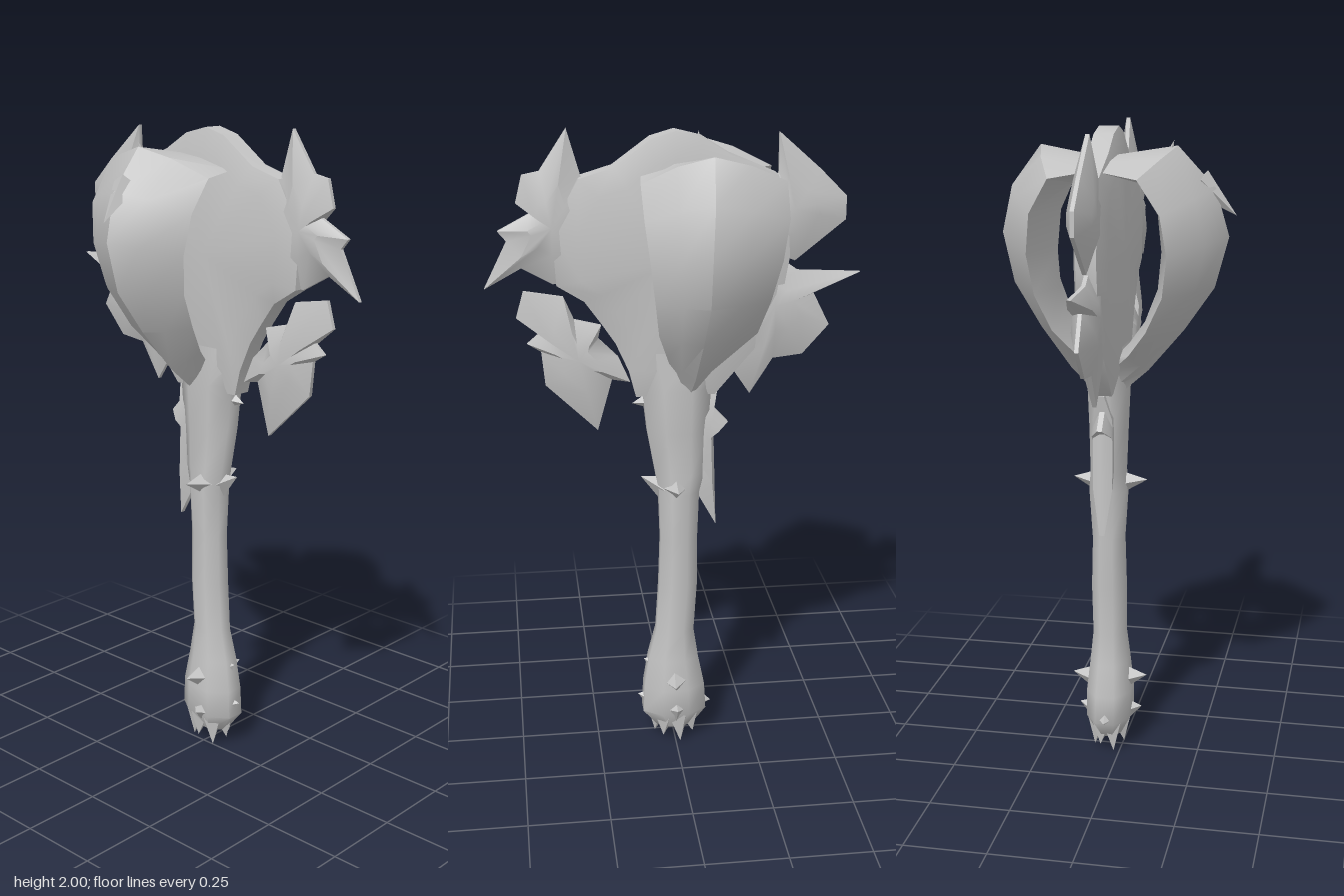
import * as THREE from 'three';
import { toCreasedNormals } from 'three/addons/utils/BufferGeometryUtils.js';

const ZC = -0.04; // depth of the middle plane
const iron = new THREE.MeshStandardMaterial({ color: 0xc4c4c4 });
iron.name = 'iron';

function build(name, points, index, crease = 0.75) {
  let geo = new THREE.BufferGeometry();
  geo.setAttribute('position', new THREE.Float32BufferAttribute(points.flat(), 3));
  geo.setIndex(index);
  geo = toCreasedNormals(geo, crease);
  const mesh = new THREE.Mesh(geo, iron);
  mesh.name = name;
  return mesh;
}

// Closed skin over rings of equal size, with fan caps
function skin(name, rings, crease) {
  const n = rings[0].length, index = [], last = (rings.length - 1) * n;
  for (let i = 0; i < rings.length - 1; i++)
    for (let j = 0; j < n; j++) {
      const a = i * n + j, b = i * n + (j + 1) % n;
      index.push(a, b, b + n, a, b + n, a + n);
    }
  for (let j = 1; j < n - 1; j++) {
    index.push(0, j + 1, j);
    index.push(last, last + j, last + j + 1);
  }
  return build(name, rings.flat(), index, crease);
}

// Jagged plate: thin rim, thicker inner ring, thickest at the centre
function plate(name, outline, [cx, cy], rim, thick, inset = 0.6) {
  const pts = outline.map(([x, y]) => new THREE.Vector2(x, y));
  if (THREE.ShapeUtils.isClockWise(pts)) pts.reverse();
  const n = pts.length, verts = [], index = [];
  const ring = (s, t) => pts.forEach(p =>
    verts.push([cx + (p.x - cx) * s, cy + (p.y - cy) * s, ZC + t]));
  ring(inset, -thick); ring(1, -rim); ring(1, rim); ring(inset, thick);
  verts.push([cx, cy, ZC - thick], [cx, cy, ZC + thick]);
  for (let j = 0; j < n; j++) {
    const k = (j + 1) % n;
    for (let r = 0; r < 3; r++) {
      const a = r * n + j, b = r * n + k;
      index.push(a, b, b + n, a, b + n, a + n);
    }
    index.push(4 * n, k, j, 4 * n + 1, 3 * n + j, 3 * n + k);
  }
  return build(name, verts, index);
}

// Four-sided thorn from a base point to a tip
function thorn(name, base, tip, r) {
  const a = new THREE.Vector3(...base), b = new THREE.Vector3(...tip);
  const dir = b.clone().sub(a), h = dir.length();
  const geo = new THREE.ConeGeometry(r, h, 4).translate(0, h / 2, 0);
  const mesh = new THREE.Mesh(toCreasedNormals(geo, 0.5), iron);
  mesh.quaternion.setFromUnitVectors(new THREE.Vector3(0, 1, 0), dir.normalize());
  mesh.position.copy(a);
  mesh.name = name;
  return mesh;
}

// Curved flange: a ridged band bowing out of the middle plane
function flange(name, side, reach) {
  // ridge y, ridge depth, inner y, inner depth, left x, right x, ridge x
  const stations = [
    [1.19, 0.04, 1.30, 0.02, -0.08, 0.01, -0.04],
    [1.27, 0.13, 1.35, 0.07, -0.15, 0.03, -0.05],
    [1.40, 0.24, 1.42, 0.12, -0.23, 0.06, -0.06],
    [1.53, 0.33, 1.52, 0.16, -0.26, 0.075, -0.07],
    [1.68, 0.37, 1.63, 0.17, -0.29, 0.09, -0.07],
    [1.82, 0.33, 1.74, 0.16, -0.31, 0.105, -0.08],
    [1.94, 0.22, 1.83, 0.11, -0.31, 0.11, -0.09],
    [1.91, 0.03, 1.86, 0.02, -0.25, 0.10, -0.09]
  ];
  const rings = stations.map(([ry, rd, iy, id, xl, xr, xm]) => {
    const at = (x, t) => [x, iy + (ry - iy) * t, ZC + side * reach * (id + (rd - id) * t)];
    const ring = [at(xl, 0.25), at((xl + xm) / 2, 0.72), at(xm, 1),
      at((xr + xm) / 2, 0.75), at(xr, 0.25), at(xm, 0)];
    return side > 0 ? ring : ring.reverse();
  });
  return skin(name, rings);
}

export function createModel() {
  const model = new THREE.Group();
  model.name = 'mace';

  // Handle: y, left x, right x, half depth
  const handle = [
    [0.05, -0.06, 0.06, 0.04], [0.11, -0.10, 0.105, 0.07], [0.2, -0.095, 0.10, 0.07],
    [0.3, -0.075, 0.085, 0.06], [0.4, -0.06, 0.06, 0.05], [0.56, -0.07, 0.05, 0.052],
    [0.72, -0.07, 0.045, 0.048], [0.88, -0.075, 0.05, 0.058], [0.94, -0.09, 0.06, 0.052],
    [1.08, -0.10, 0.085, 0.055], [1.22, -0.11, 0.10, 0.06], [1.34, -0.15, 0.15, 0.05]
  ].map(([y, l, r, d]) => Array.from({ length: 8 }, (_, j) => {
    const a = (j + 0.5) / 8 * Math.PI * 2;
    return [(l + r) / 2 + Math.cos(a) * (r - l) / 2 * 1.08, y, ZC - Math.sin(a) * d * 1.08];
  }));
  model.add(skin('handle', handle, 1.1));

  // Thick central blade of the head
  model.add(plate('headBlade', [
    [-0.12, 1.2], [-0.24, 1.34], [-0.32, 1.5], [-0.34, 1.62], [-0.33, 1.76], [-0.3, 1.86],
    [-0.16, 1.92], [-0.08, 1.97], [0, 1.99], [0.07, 1.97], [0.18, 1.89], [0.28, 1.86],
    [0.36, 1.72], [0.35, 1.55], [0.27, 1.5], [0.22, 1.43], [0.18, 1.37], [0.14, 1.28], [0.12, 1.2]
  ], [0, 1.62], 0.03, 0.05, 0.8));

  // Jagged shards around the blade
  model.add(plate('upperLeftShard', [
    [0.27, 1.86], [0.2, 1.8], [0.25, 1.55], [0.36, 1.55], [0.45, 1.6], [0.56, 1.54],
    [0.49, 1.68], [0.515, 1.71], [0.42, 1.76], [0.46, 1.79], [0.44, 1.87], [0.39, 1.88], [0.31, 2.0]
  ], [0.36, 1.72], 0.006, 0.036, 0.45));
  model.add(plate('lowerLeftShard', [
    [0.135, 1.24], [0.19, 1.25], [0.235, 1.09], [0.39, 1.24], [0.4, 1.345], [0.44, 1.37],
    [0.405, 1.4], [0.47, 1.45], [0.447, 1.53], [0.33, 1.51], [0.3, 1.44], [0.22, 1.42],
    [0.23, 1.38], [0.17, 1.32]
  ], [0.29, 1.32], 0.006, 0.036, 0.45));
  model.add(plate('upperRightShard', [
    [-0.305, 1.98], [-0.43, 1.87], [-0.51, 1.79], [-0.51, 1.72], [-0.36, 1.6],
    [-0.24, 1.65], [-0.24, 1.82], [-0.305, 1.86]
  ], [-0.35, 1.76], 0.006, 0.036, 0.45));
  model.add(plate('lowerRightShard', [
    [-0.3, 1.62], [-0.37, 1.57], [-0.56, 1.56], [-0.42, 1.5], [-0.47, 1.4], [-0.39, 1.31],
    [-0.3, 1.3], [-0.23, 1.19], [-0.17, 1.28], [-0.12, 1.27], [-0.1, 1.5]
  ], [-0.3, 1.47], 0.006, 0.036, 0.45));
  model.add(plate('handleSliver', [
    [-0.13, 0.76], [-0.075, 0.86], [-0.07, 1.2], [-0.13, 1.2], [-0.12, 1.15], [-0.165, 1.1], [-0.12, 1.08]
  ], [-0.1, 1.05], 0.008, 0.03, 0.5));

  // Front and back flanges with a small fin on the front ridge
  model.add(flange('frontFlange', 1, 1), flange('backFlange', -1, 0.84));
  model.add(thorn('ridgeFin', [-0.08, 1.84, 0.24], [-0.06, 1.74, 0.35], 0.04));
  model.add(thorn('topFin', [-0.085, 1.84, 0.13], [-0.1, 1.955, 0.17], 0.03));

  // Thorns on the handle: base, tip, radius
  [
    [[0, 0.24, 0], [0, 0.25, 0.08], 0.045], [[0, 0.23, -0.08], [0.01, 0.24, -0.165], 0.045],
    [[0.01, 0.12, 0], [0.02, 0.13, 0.06], 0.045], [[0, 0.12, -0.08], [0, 0.14, -0.14], 0.045],
    [[0.06, 0.14, ZC], [0.12, 0.16, ZC], 0.045], [[-0.06, 0.13, ZC], [-0.12, 0.12, ZC], 0.045],
    [[0.05, 0.26, ZC], [0.1, 0.29, ZC], 0.04],
    [[0, 0.9, 0], [0, 0.91, 0.08], 0.035], [[0, 0.9, -0.08], [0, 0.91, -0.155], 0.035],
    [[0.03, 0.89, ZC], [0.105, 0.93, ZC], 0.04], [[0.06, 1.18, ZC], [0.13, 1.17, ZC], 0.035]
  ].forEach(([base, tip, r]) => model.add(thorn('handleThorn', base, tip, r)));

  // Crown of points under the pommel
  for (let i = 0; i < 7; i++) {
    const a = i / 7 * Math.PI * 2, c = Math.cos(a), s = Math.sin(a);
    model.add(thorn('pommelPoint', [c * 0.05, 0.1, ZC + s * 0.035],
      [c * 0.065, i % 2 ? 0 : 0.02, ZC + s * 0.05], 0.04));
  }
  return model;
}
